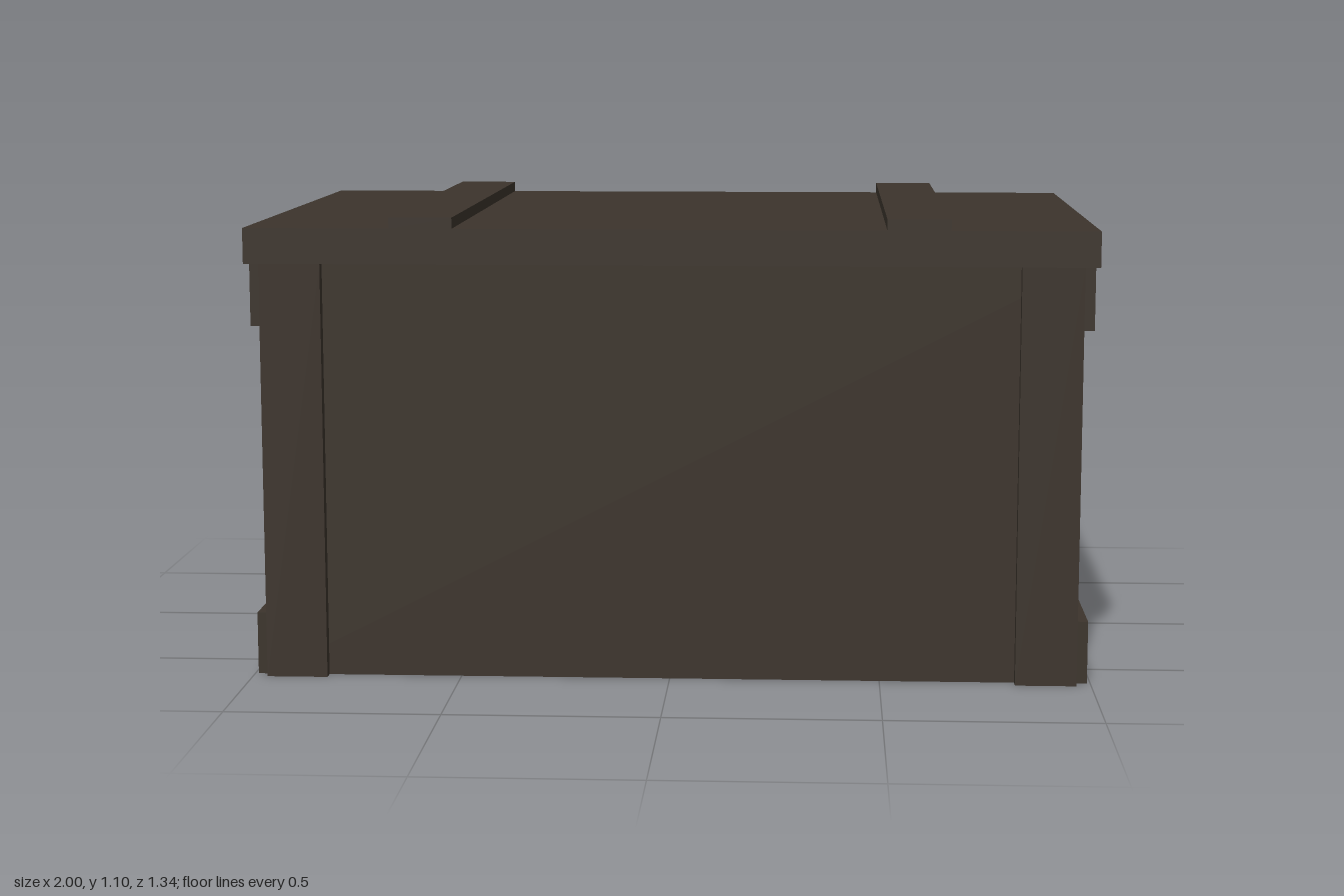
import * as THREE from 'three';

export function createModel() {
  const crate = new THREE.Group();
  crate.name = 'crate';
  const wood = new THREE.MeshStandardMaterial({ color: 0x3c342c });
  wood.name = 'dark wood';

  // Box given by its lower and upper limits on each axis
  function board(name, [x0, x1], [y0, y1], [z0, z1]) {
    const mesh = new THREE.Mesh(new THREE.BoxGeometry(x1 - x0, y1 - y0, z1 - z0), wood);
    mesh.position.set((x0 + x1) / 2, (y0 + y1) / 2, (z0 + z1) / 2);
    mesh.name = name;
    crate.add(mesh);
  }
  // Same board on the left (+x) and mirrored to the right (-x)
  function pair(name, [x0, x1], y, z) {
    board(name + 'Left', [x0, x1], y, z);
    board(name + 'Right', [-x1, -x0], y, z);
  }

  const W = 0.965, H = 0.993, T = 0.008;   // body half width, height, wall thickness
  const zFront = 0.64, zBack = -0.645;

  // Thin walls around a raised floor, leaving the underside recessed
  board('frontWall', [-W, W], [0, H], [zFront - T, zFront]);
  board('backWall', [-W, W], [0, H], [zBack, zBack + T]);
  pair('endWall', [W - T, W], [0, H], [zBack + T, zFront - T]);
  board('floor', [-W + T, W - T], [0.085, 0.1], [zBack + T, zFront - T]);

  // Corner posts on front and back
  pair('frontPost', [0.82, W], [0, H], [zFront, 0.668]);
  pair('backPost', [0.82, W], [0, H], [-0.672, zBack]);

  // Horizontal battens on both ends
  pair('lowerEndBatten', [W, 0.992], [0, 0.15], [zBack, zFront]);
  pair('upperEndBatten', [W, 0.992], [0.843, H], [zBack, zFront]);

  // Lid with two battens across it
  board('lid', [-1, 1], [H, 1.077], [zBack, 0.672]);
  pair('lidBatten', [0.507, 0.655], [1.077, 1.103], [zBack, 0.672]);

  return crate;
}
